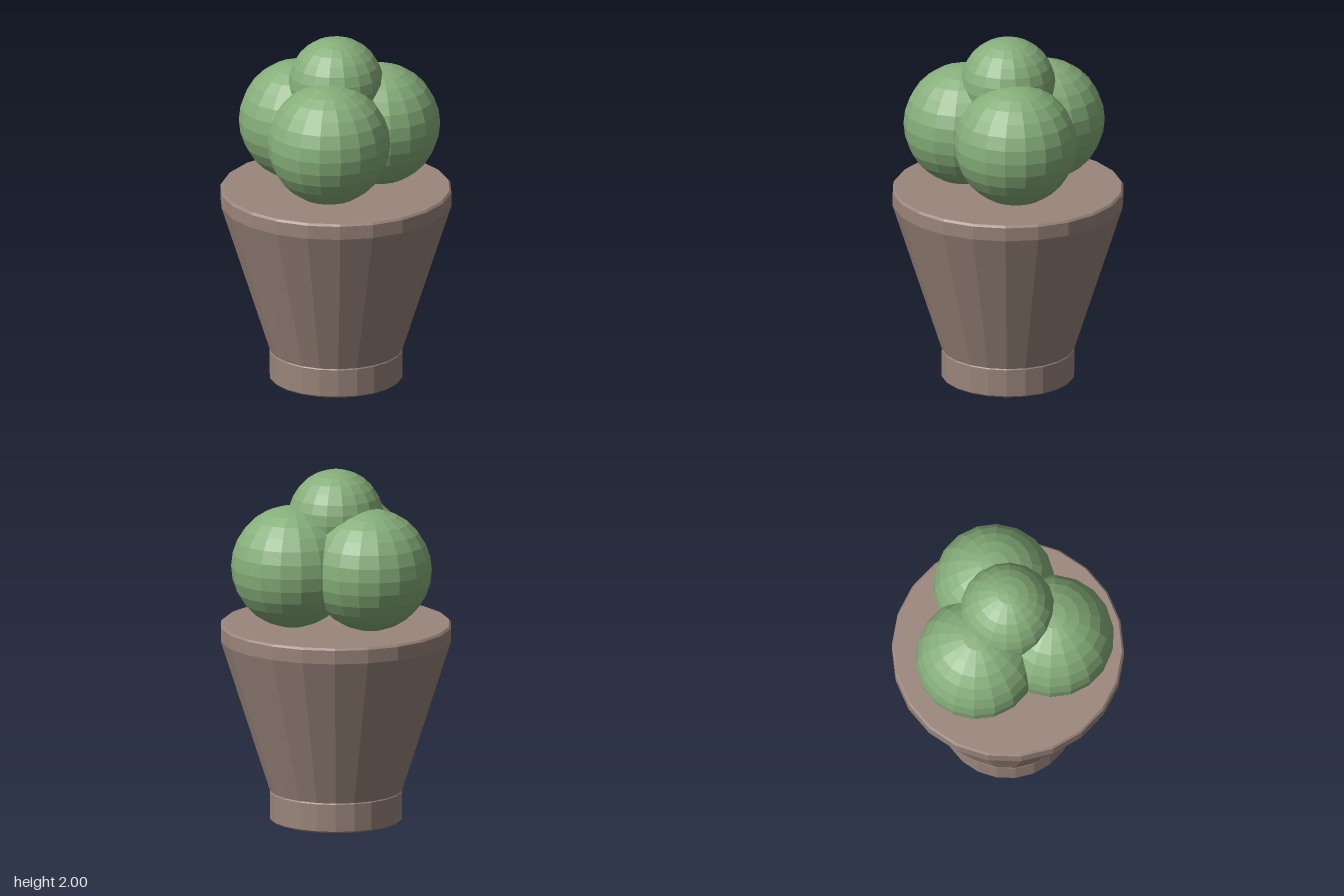
import * as THREE from 'three';

const SIDES = 22;

export function createModel() {
  const model = new THREE.Group();
  model.name = 'pottedBush';

  const clay = new THREE.MeshStandardMaterial({ color: 0x9a857b, flatShading: true });
  const leaf = new THREE.MeshStandardMaterial({ color: 0x86ae7a, flatShading: true });

  // Closed faceted solid of revolution from [radius, height] pairs, bottom to top
  const turned = (name, profile) => {
    const points = profile.map(([r, y]) => new THREE.Vector2(r, y));
    const mesh = new THREE.Mesh(new THREE.LatheGeometry(points, SIDES), clay);
    mesh.name = name;
    model.add(mesh);
  };

  // Foot ring with softened edges
  turned('potFoot', [
    [0, 0], [0.362, 0], [0.373, 0.01], [0.373, 0.165], [0.365, 0.175], [0, 0.175],
  ]);

  // Flared body with an upright rim and a filled, flat top
  turned('potBody', [
    [0, 0.172], [0.372, 0.172], [0.649, 1.035], [0.649, 1.112], [0.638, 1.124], [0, 1.124],
  ]);

  // Foliage balls, with a facet corner facing front
  const ball = (name, radius, x, y, z) => {
    const geometry = new THREE.SphereGeometry(radius, 18, 14).rotateY(Math.PI / 2);
    const mesh = new THREE.Mesh(geometry, leaf);
    mesh.name = name;
    mesh.position.set(x, y, z);
    model.add(mesh);
  };

  // Three large balls in a triangle, one at the back
  ['foliageBack', 'foliageLeft', 'foliageRight'].forEach((name, i) => {
    const angle = Math.PI - (i * Math.PI * 2) / 3;
    ball(name, 0.343, 0.257 * Math.sin(angle), 1.467, 0.257 * Math.cos(angle));
  });

  // Smaller ball on top
  ball('foliageTop', 0.267, 0, 1.733, 0);

  return model;
}
